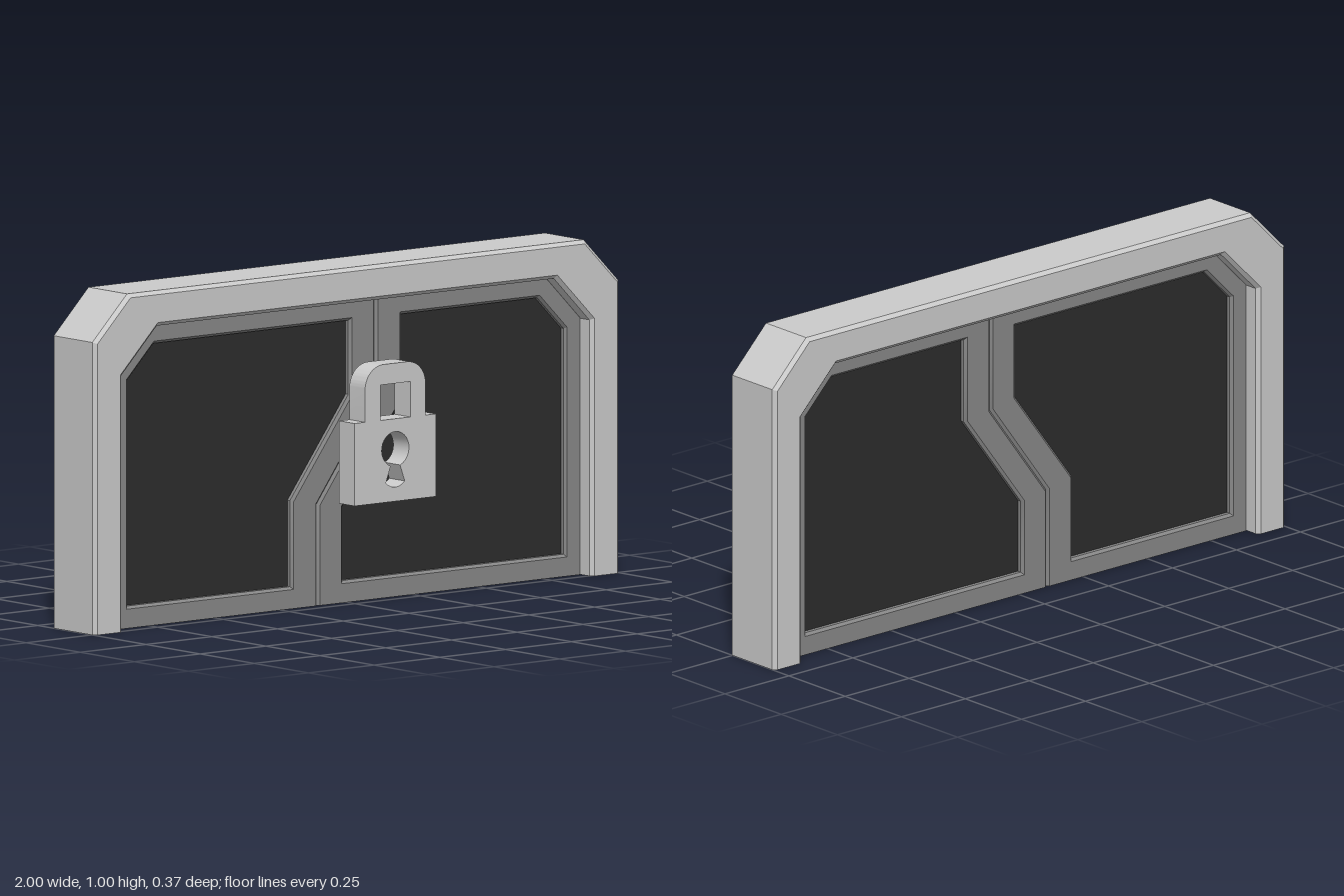
import * as THREE from 'three';
import { toCreasedNormals } from 'three/addons/utils/BufferGeometryUtils.js';

const MID_Z = -0.087; // centre plane of frame and doors

const points = (list) => list.map(([x, y]) => new THREE.Vector2(x, y));

// Extrudes a shape centred on z, chamfering its edges inward but keeping the base flat
function slab(shape, z, depth, bevel = 0) {
  const geo = new THREE.ExtrudeGeometry(shape, {
    depth: depth - 2 * bevel, curveSegments: 12, bevelEnabled: bevel > 0,
    bevelThickness: bevel, bevelSize: bevel, bevelOffset: -bevel, bevelSegments: 1,
  });
  geo.translate(0, 0, z - depth / 2 + bevel);
  const pos = geo.attributes.position;
  for (let i = 0; i < pos.count; i++) if (pos.getY(i) < 0.02) pos.setY(i, 0);
  return toCreasedNormals(geo, 0.5);
}

function addMesh(parent, name, geometry, material) {
  const mesh = new THREE.Mesh(geometry, material);
  mesh.name = name;
  parent.add(mesh);
}

export function createModel() {
  const group = new THREE.Group();
  group.name = 'lockedDoor';
  const light = new THREE.MeshStandardMaterial({ color: 0xcccccc });
  const grey = new THREE.MeshStandardMaterial({ color: 0x888888 });
  const dark = new THREE.MeshStandardMaterial({ color: 0x2c2c2c });

  // Arch frame with chamfered corners
  const frame = new THREE.Shape(points([
    [-1, 0], [-0.89, 0], [-0.89, 0.76], [-0.755, 0.895], [0.755, 0.895], [0.89, 0.76],
    [0.89, 0], [1, 0], [1, 0.868], [0.868, 1], [-0.868, 1], [-1, 0.868],
  ]));
  addMesh(group, 'frame', slab(frame, MID_Z, 0.2, 0.011), light);

  // Two interlocking door halves, each a rim around a recessed dark panel
  const halves = [
    {
      name: 'leftDoor',
      rim: [[-0.11, 0], [0.895, 0], [0.895, 0.765], [0.76, 0.9], [0.11, 0.9], [0.11, 0.595], [-0.11, 0.3]],
      panel: [[-0.012, 0.065], [0.83, 0.065], [0.83, 0.735], [0.73, 0.835], [0.21, 0.835], [0.21, 0.58], [-0.012, 0.285]],
    },
    {
      name: 'rightDoor',
      rim: [[-0.11, 0], [-0.11, 0.3], [0.11, 0.595], [0.11, 0.9], [-0.76, 0.9], [-0.895, 0.765], [-0.895, 0]],
      panel: [[-0.21, 0.065], [-0.21, 0.32], [0.012, 0.615], [0.012, 0.835], [-0.73, 0.835], [-0.83, 0.735], [-0.83, 0.065]],
    },
  ];
  for (const { name, rim, panel } of halves) {
    const door = new THREE.Group();
    door.name = name;
    const shape = new THREE.Shape(points(rim));
    shape.holes.push(new THREE.Path(points(panel)));
    addMesh(door, name + 'Rim', slab(shape, MID_Z, 0.1, 0.008), grey);
    addMesh(door, name + 'Panel', slab(new THREE.Shape(points(panel)), MID_Z, 0.06), dark);
    group.add(door);
  }

  // Padlock floating in front
  const padlock = new THREE.Group();
  padlock.name = 'padlock';
  const lockZ = 0.151, lockDepth = 0.072;

  const body = new THREE.Shape(points([[-0.155, 0.325], [0.155, 0.325], [0.155, 0.57], [-0.155, 0.57]]));
  const keyhole = new THREE.Path();
  keyhole.moveTo(0.018, 0.431);
  keyhole.absarc(0, 0.48, 0.052, -1.22, Math.PI + 1.22, false);
  keyhole.lineTo(-0.036, 0.382);
  keyhole.quadraticCurveTo(0, 0.352, 0.036, 0.382);
  keyhole.closePath();
  body.holes.push(keyhole);
  addMesh(padlock, 'lockBody', slab(body, lockZ, lockDepth), light);

  // Shackle: rounded outside, square opening inside
  const shackle = new THREE.Shape();
  shackle.moveTo(-0.115, 0.57);
  shackle.lineTo(-0.057, 0.57);
  shackle.lineTo(-0.057, 0.675);
  shackle.lineTo(0.057, 0.675);
  shackle.lineTo(0.057, 0.57);
  shackle.lineTo(0.115, 0.57);
  shackle.lineTo(0.115, 0.665);
  shackle.absarc(0.045, 0.665, 0.07, 0, Math.PI / 2, false);
  shackle.absarc(-0.045, 0.665, 0.07, Math.PI / 2, Math.PI, false);
  shackle.closePath();
  addMesh(padlock, 'shackle', slab(shackle, lockZ, lockDepth), light);
  group.add(padlock);

  return group;
}
